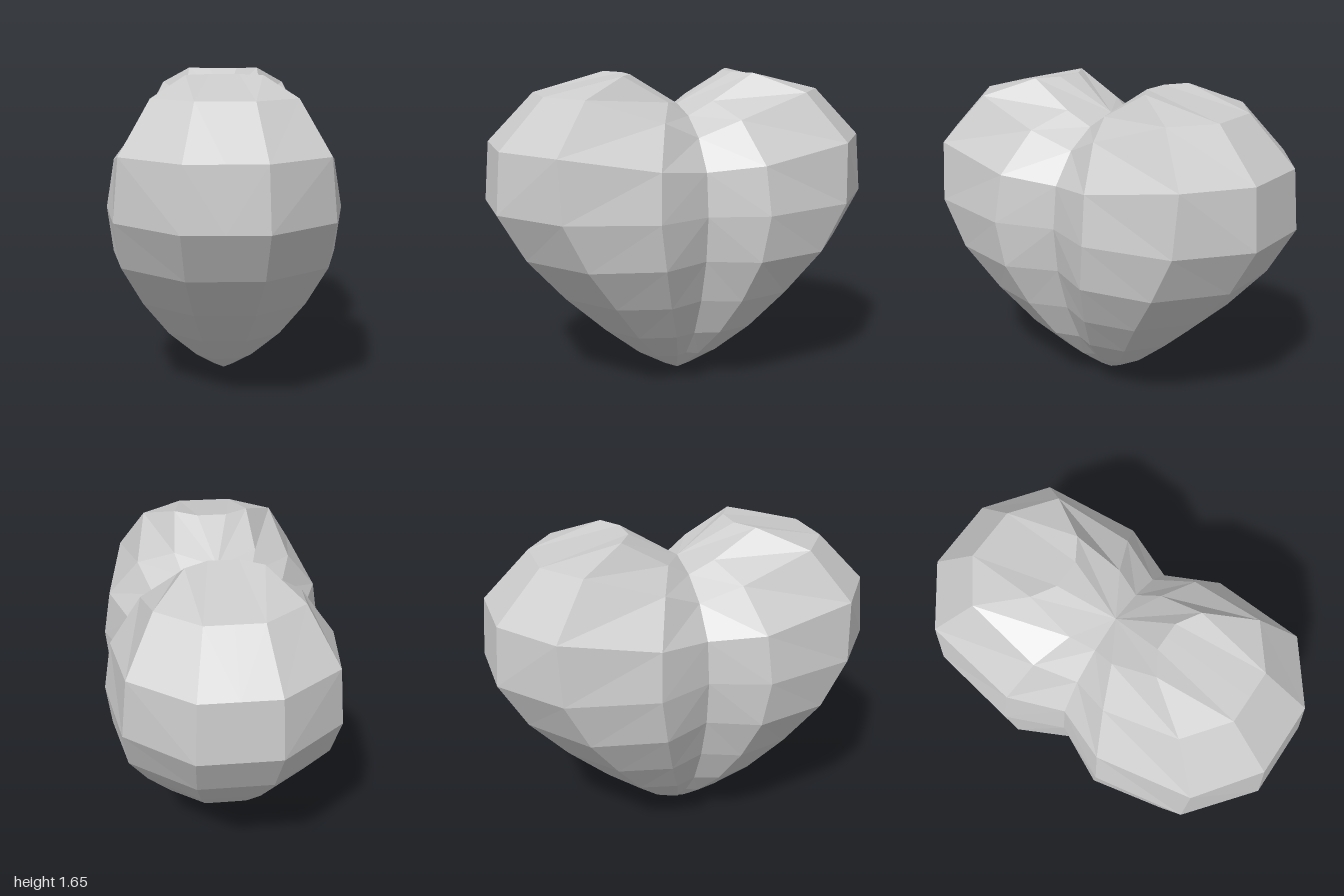
import * as THREE from 'three';

// Cross-sections of a quarter of the heart, bottom to top.
// Each lists four corners [x, y, z]: nose, shoulder, flank, and seam (z = 0).
const SECTIONS = [
  [[0, 0, 0], [0, 0, 0], [0, 0, 0], [0, 0, 0]],
  [[0.02, 0.04, 0.08], [0.05, 0.04, 0.05], [0.06, 0.04, 0.02], [0.05, 0.04, 0]],
  [[0.06, 0.14, 0.24], [0.15, 0.14, 0.17], [0.18, 0.14, 0.06], [0.15, 0.14, 0]],
  [[0.11, 0.31, 0.44], [0.29, 0.31, 0.31], [0.34, 0.31, 0.12], [0.28, 0.3, 0]],
  [[0.15, 0.52, 0.66], [0.41, 0.52, 0.46], [0.47, 0.515, 0.19], [0.38, 0.51, 0]],
  [[0.185, 0.75, 0.86], [0.5, 0.75, 0.62], [0.575, 0.745, 0.25], [0.45, 0.74, 0]],
  [[0.2, 1, 1], [0.52, 1, 0.745], [0.6, 0.985, 0.285], [0.475, 0.975, 0]],
  [[0.19, 1.31, 0.975], [0.49, 1.31, 0.755], [0.56, 1.23, 0.27], [0.45, 1.195, 0]],
  [[0.14, 1.56, 0.74], [0.35, 1.56, 0.58], [0.4, 1.44, 0.2], [0.33, 1.35, 0]],
  [[0.075, 1.655, 0.28], [0.19, 1.655, 0.35], [0.21, 1.52, 0.12], [0.175, 1.445, 0]],
  [[0, 1.49, 0], [0, 1.49, 0], [0, 1.49, 0], [0, 1.49, 0]],
];

// One lobe: the quarter lofted on both sides of x = 0, facing +z or -z
function lobeGeometry(sz) {
  const positions = [];
  for (const sx of [1, -1]) {
    const rings = SECTIONS.map((s) =>
      [[0, s[0][1], s[0][2]], ...s].map(([x, y, z]) => new THREE.Vector3(sx * x, y, sz * z)));
    const triangle = (a, b, c) => {
      if (a.equals(b) || b.equals(c) || a.equals(c)) return;
      for (const p of sx * sz > 0 ? [a, b, c] : [a, c, b]) positions.push(p.x, p.y, p.z);
    };
    for (let r = 0; r < rings.length - 1; r++) {
      for (let i = 0; i < 4; i++) {
        const [a, b] = [rings[r][i], rings[r][i + 1]];
        const [d, c] = [rings[r + 1][i], rings[r + 1][i + 1]];
        triangle(a, b, c);
        triangle(a, c, d);
      }
    }
  }
  const geometry = new THREE.BufferGeometry();
  geometry.setAttribute('position', new THREE.Float32BufferAttribute(positions, 3));
  geometry.computeVertexNormals();
  return geometry;
}

export function createModel() {
  const heart = new THREE.Group();
  heart.name = 'heart';
  const material = new THREE.MeshStandardMaterial({ color: 0xcccccc, flatShading: true });

  // Two mirrored lobes meeting at the cleft
  for (const [name, sz] of [['frontLobe', 1], ['backLobe', -1]]) {
    const lobe = new THREE.Mesh(lobeGeometry(sz), material);
    lobe.name = name;
    heart.add(lobe);
  }
  return heart;
}
